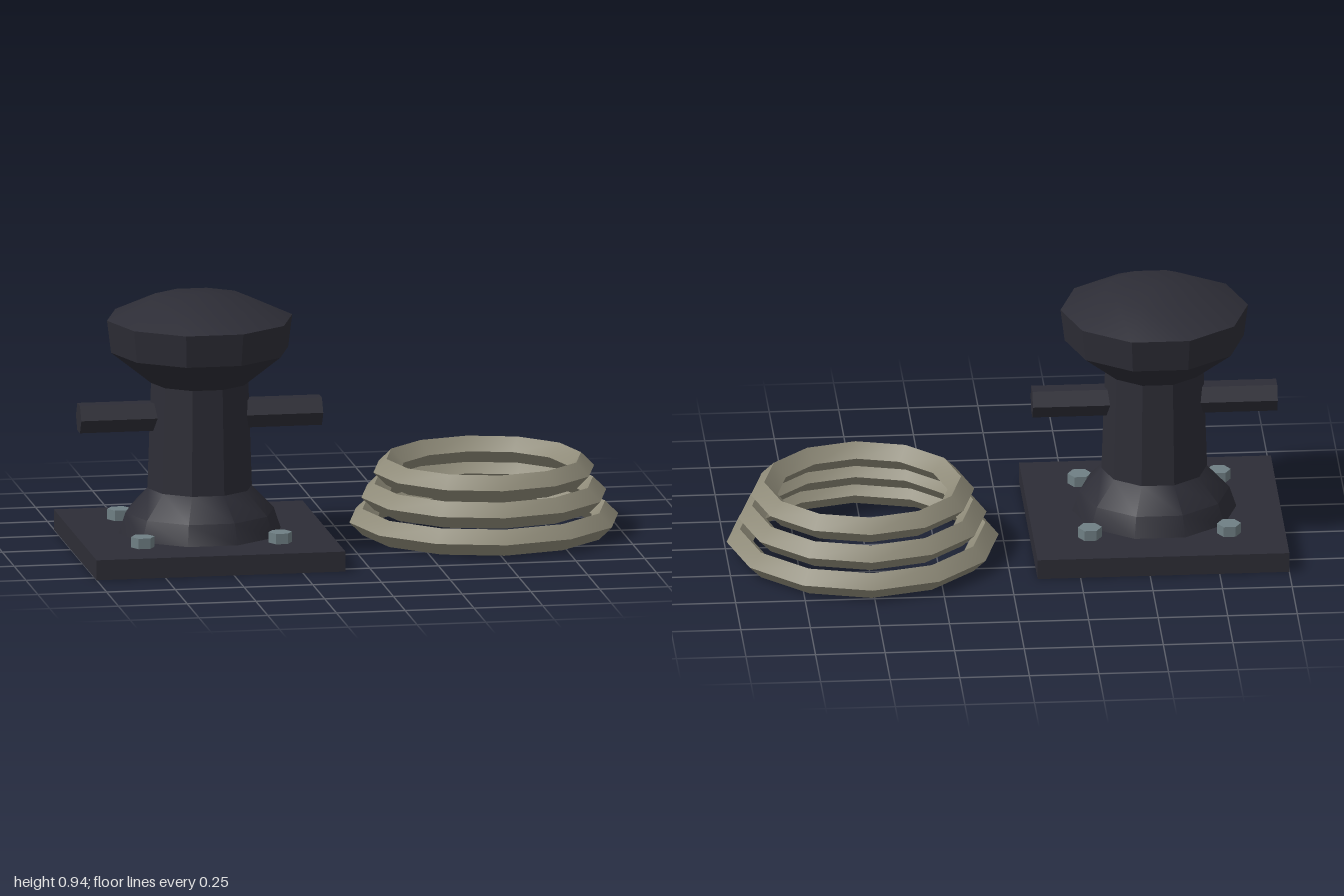
import * as THREE from 'three';
import { toCreasedNormals } from 'three/addons/utils/BufferGeometryUtils.js';

const material = (name, color) => {
  const m = new THREE.MeshStandardMaterial({ color });
  m.name = name;
  return m;
};

export function createModel() {
  const iron = material('dark iron', 0x2d2d36);
  const steel = material('bolt steel', 0x6f7f84);
  const rope = material('rope tan', 0x8f8b79);

  const model = new THREE.Group();
  model.name = 'mooringBollardWithRope';

  const add = (parent, name, geometry, mat, x, y, z) => {
    const mesh = new THREE.Mesh(toCreasedNormals(geometry, 0.6), mat);
    mesh.name = name;
    mesh.position.set(x, y, z);
    parent.add(mesh);
    return mesh;
  };

  // Bollard: plate, ten-sided post, crossbar and bolts
  const bollard = new THREE.Group();
  bollard.name = 'bollard';
  bollard.position.set(-0.548, 0, 0.09);
  model.add(bollard);

  const plateTop = 0.073;
  add(bollard, 'basePlate', new THREE.BoxGeometry(0.905, plateTop, 0.905), iron, 0, plateTop / 2, 0);

  const turned = (name, profile) => add(bollard, name, new THREE.LatheGeometry(
    profile.map(([r, y]) => new THREE.Vector2(r, y)), 10, Math.PI / 2), iron, 0, 0, 0);
  turned('footFlare', [[0.295, plateTop], [0.27, 0.148], [0.187, 0.235]]);
  turned('post', [[0.19, 0.235], [0.177, 0.62]]);
  turned('cap', [[0.177, 0.62], [0.322, 0.735], [0.337, 0.853], [0.178, 0.925], [0, 0.94]]);

  // Hexagonal bar with its flats facing up and down
  const bar = new THREE.CylinderGeometry(0.0575, 0.0575, 0.88, 6).rotateZ(Math.PI / 2);
  add(bollard, 'crossbar', bar, iron, 0, 0.5, 0);

  // Four hexagonal bolts
  for (const sx of [-1, 1]) {
    for (const sz of [-1, 1]) {
      const bolt = new THREE.CylinderGeometry(0.043, 0.043, 0.038, 6, 1, false, Math.PI / 2);
      add(bollard, 'bolt', bolt, steel, sx * 0.25, plateTop + 0.019, sz * 0.25);
    }
  }

  // Rope coil: three diamond-section loops, narrowing upward
  const coil = new THREE.Group();
  coil.name = 'ropeCoil';
  coil.position.set(0.511, 0, -0.058);
  model.add(coil);
  for (let i = 0; i < 3; i++) {
    const loop = new THREE.TorusGeometry(0.441 - i * 0.0437, 0.048, 4, 12).rotateX(Math.PI / 2);
    add(coil, 'ropeLoop', loop, rope, 0, 0.051 + i * 0.09, 0);
  }

  return model;
}
